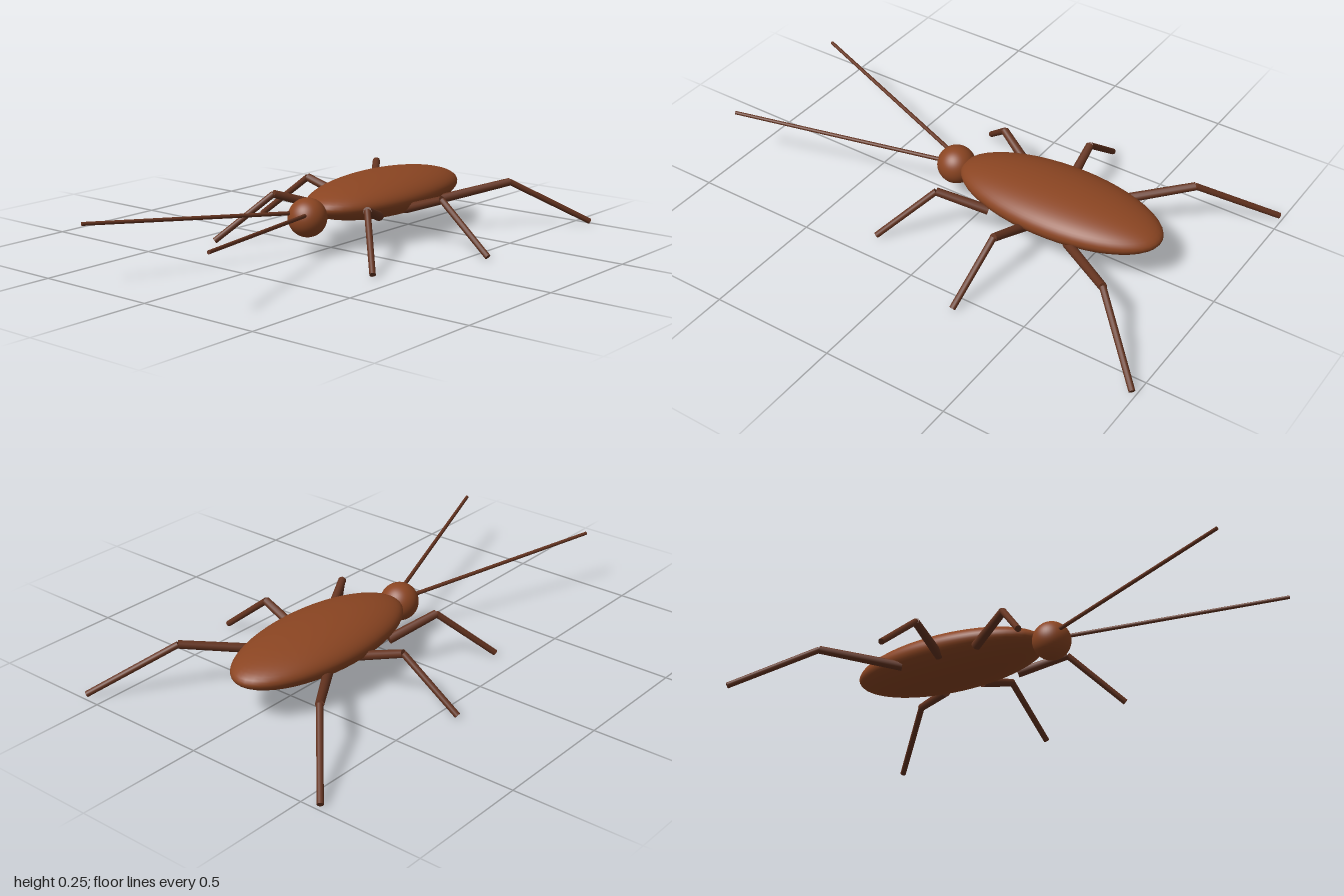
import * as THREE from 'three';

const shellMaterial = new THREE.MeshStandardMaterial({ color: 0x8b4522 });
const limbMaterial = new THREE.MeshStandardMaterial({ color: 0x653420 });

function ellipsoid(name, position, radii) {
  const mesh = new THREE.Mesh(new THREE.SphereGeometry(1, 48, 32), shellMaterial);
  mesh.name = name;
  mesh.position.set(...position);
  mesh.scale.set(...radii);
  return mesh;
}

// Tapered rod running from one point to another
function rod(name, from, to, startRadius, endRadius) {
  const a = new THREE.Vector3(...from);
  const b = new THREE.Vector3(...to);
  const direction = b.clone().sub(a);
  const geometry = new THREE.CylinderGeometry(endRadius, startRadius, direction.length(), 12);
  const mesh = new THREE.Mesh(geometry, limbMaterial);
  mesh.name = name;
  mesh.position.copy(a).add(b).multiplyScalar(0.5);
  mesh.quaternion.setFromUnitVectors(new THREE.Vector3(0, 1, 0), direction.normalize());
  return mesh;
}

export function createModel() {
  const model = new THREE.Group();
  model.name = 'insect';

  model.add(ellipsoid('body', [0.333, 0.17, 0], [0.433, 0.086, 0.195]));
  model.add(ellipsoid('head', [-0.14, 0.148, 0], [0.076, 0.076, 0.076]));

  // Hip, knee and foot of each leg on the +z side
  const legs = [
    ['frontLeg', [0.11, 0.13, 0.15], [-0.07, 0.195, 0.235], [-0.24, 0.012, 0.395]],
    ['middleLeg', [0.28, 0.13, 0.15], [0.26, 0.195, 0.34], [0.238, 0.012, 0.573]],
    ['rearLeg', [0.46, 0.13, 0.15], [0.725, 0.192, 0.345], [0.985, 0.014, 0.573]],
  ];

  for (const side of [1, -1]) {
    const mirror = ([x, y, z]) => [x, y, z * side];
    for (const [name, hip, knee, foot] of legs) {
      const leg = new THREE.Group();
      leg.name = name;
      leg.add(rod('upperLeg', mirror(hip), mirror(knee), 0.019, 0.016));
      leg.add(rod('lowerLeg', mirror(knee), mirror(foot), 0.013, 0.012));
      model.add(leg);
    }
    model.add(rod('antenna', mirror([-0.18, 0.168, 0.03]), mirror([-0.998, 0.234, 0.309]), 0.008, 0.007));
  }
  return model;
}
